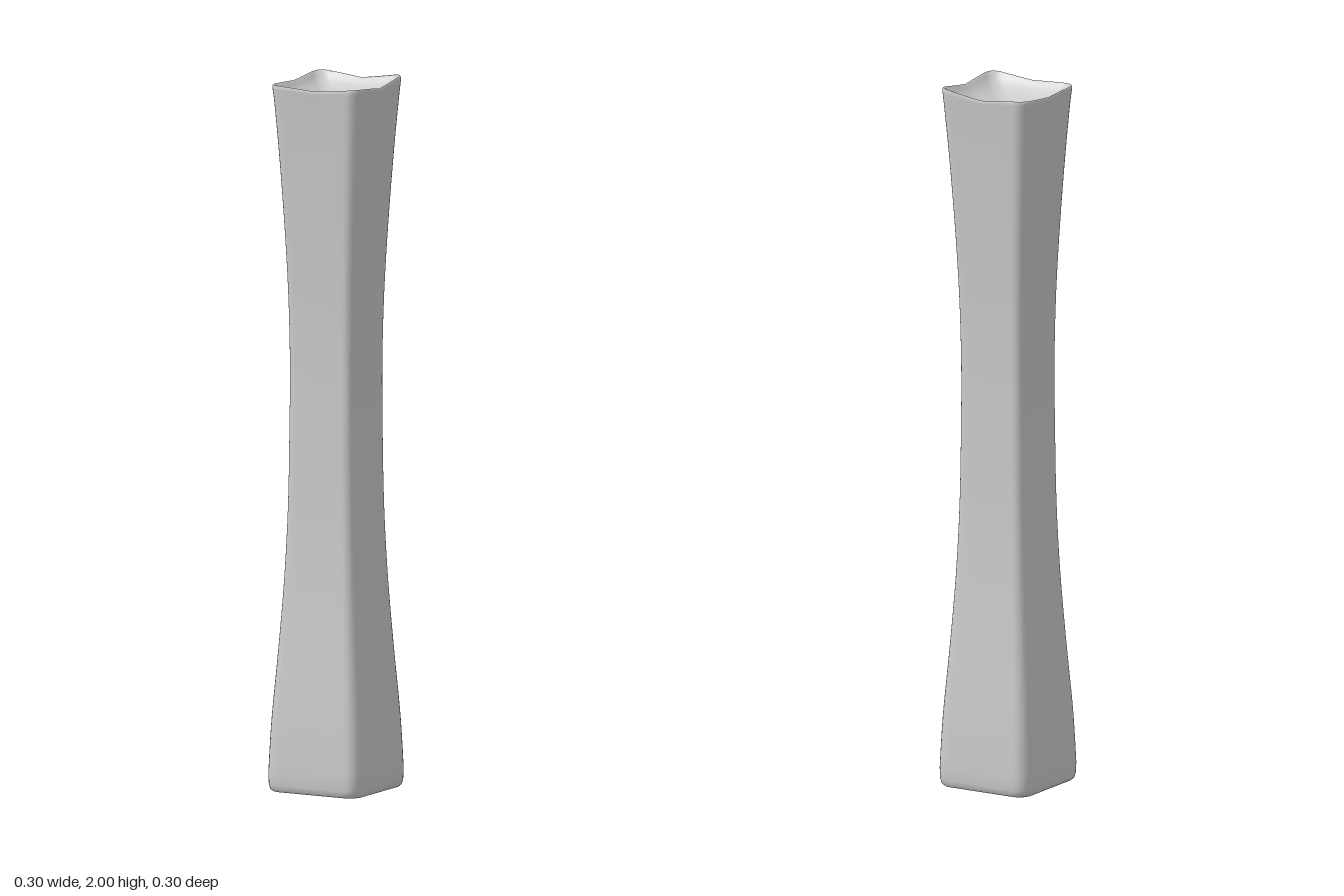
import * as THREE from 'three';

const SIDE = 8, CORNER = 6; // segments per flat side and per rounded corner

// Rounded-square outline of half width h and corner radius r
function outline(h, r) {
  const pts = [];
  for (let q = 0; q < 4; q++) {
    const a0 = q * Math.PI / 2, c = Math.cos(a0), s = Math.sin(a0), k = h - r;
    const local = [];
    for (let i = 0; i < SIDE; i++) local.push([h, -k + 2 * k * i / SIDE]);
    for (let i = 0; i < CORNER; i++) {
      const a = (i / CORNER) * Math.PI / 2;
      local.push([k + r * Math.cos(a), k + r * Math.sin(a)]);
    }
    for (const [x, z] of local) pts.push([x * c - z * s, x * s + z * c]);
  }
  return pts;
}

// Skin a stack of rings [halfWidth, cornerRadius, y, rimWave], closed by centre points
function loft(rings) {
  const pos = [], idx = [], n = 4 * (SIDE + CORNER);
  for (const [h, r, y, wave = 0] of rings) {
    for (const [x, z] of outline(h, r)) {
      // rim rises at the corners, highest at the back left one
      const corner = Math.min(1, Math.abs(x * z) / (h * h));
      const lift = 0.014 * corner + 0.007 * ((x - z) / (2 * h)) * corner;
      pos.push(x, y + wave * lift, z - 0.004 * Math.max(0, y - 1) * Math.min(1, h / 0.1));
    }
  }
  for (let j = 0; j < rings.length - 1; j++) {
    for (let i = 0; i < n; i++) {
      const a = j * n + i, b = j * n + (i + 1) % n;
      idx.push(a, a + n, b, b, a + n, b + n);
    }
  }
  const first = pos.length / 3, lastRow = (rings.length - 1) * n;
  pos.push(0, rings[0][2], 0, 0, rings[rings.length - 1][2], 0);
  for (let i = 0; i < n; i++) {
    const k = (i + 1) % n;
    idx.push(first, i, k, first + 1, lastRow + k, lastRow + i);
  }
  const g = new THREE.BufferGeometry();
  g.setAttribute('position', new THREE.Float32BufferAttribute(pos, 3));
  g.setIndex(idx);
  g.computeVertexNormals();
  return g;
}

export function createModel() {
  const group = new THREE.Group();
  group.name = 'flaredColumn';
  const material = new THREE.MeshStandardMaterial({ color: 0xcccccc, side: THREE.DoubleSide });

  // Shallow hollow and rounded foot
  const rings = [
    [0.02, 0.006, 0.018], [0.07, 0.02, 0.016], [0.11, 0.03, 0.01],
    [0.13, 0.035, 0.002], [0.138, 0.036, 0], [0.144, 0.037, 0.006], [0.147, 0.037, 0.02],
  ];

  // Waisted shaft
  const profile = new THREE.SplineCurve([
    [0.148, 0.05], [0.141, 0.2], [0.126, 0.4], [0.113, 0.6], [0.105, 0.8], [0.102, 1],
    [0.101, 1.2], [0.105, 1.4], [0.114, 1.6], [0.126, 1.8], [0.137, 1.95],
  ].map(([h, y]) => new THREE.Vector2(h, y)));
  for (const p of profile.getPoints(40)) rings.push([p.x, p.x * 0.25, p.y]);

  // Wavy rim and dished top
  rings.push(
    [0.14, 0.034, 1.974, 0.8], [0.14, 0.034, 1.981, 1], [0.138, 0.033, 1.984, 1],
    [0.134, 0.031, 1.982, 1], [0.128, 0.03, 1.974, 0.8], [0.115, 0.03, 1.962, 0.5],
    [0.09, 0.028, 1.949, 0.2], [0.06, 0.022, 1.94], [0.03, 0.012, 1.935], [0.01, 0.004, 1.933],
  );

  const column = new THREE.Mesh(loft(rings), material);
  column.name = 'column';
  group.add(column);
  return group;
}
